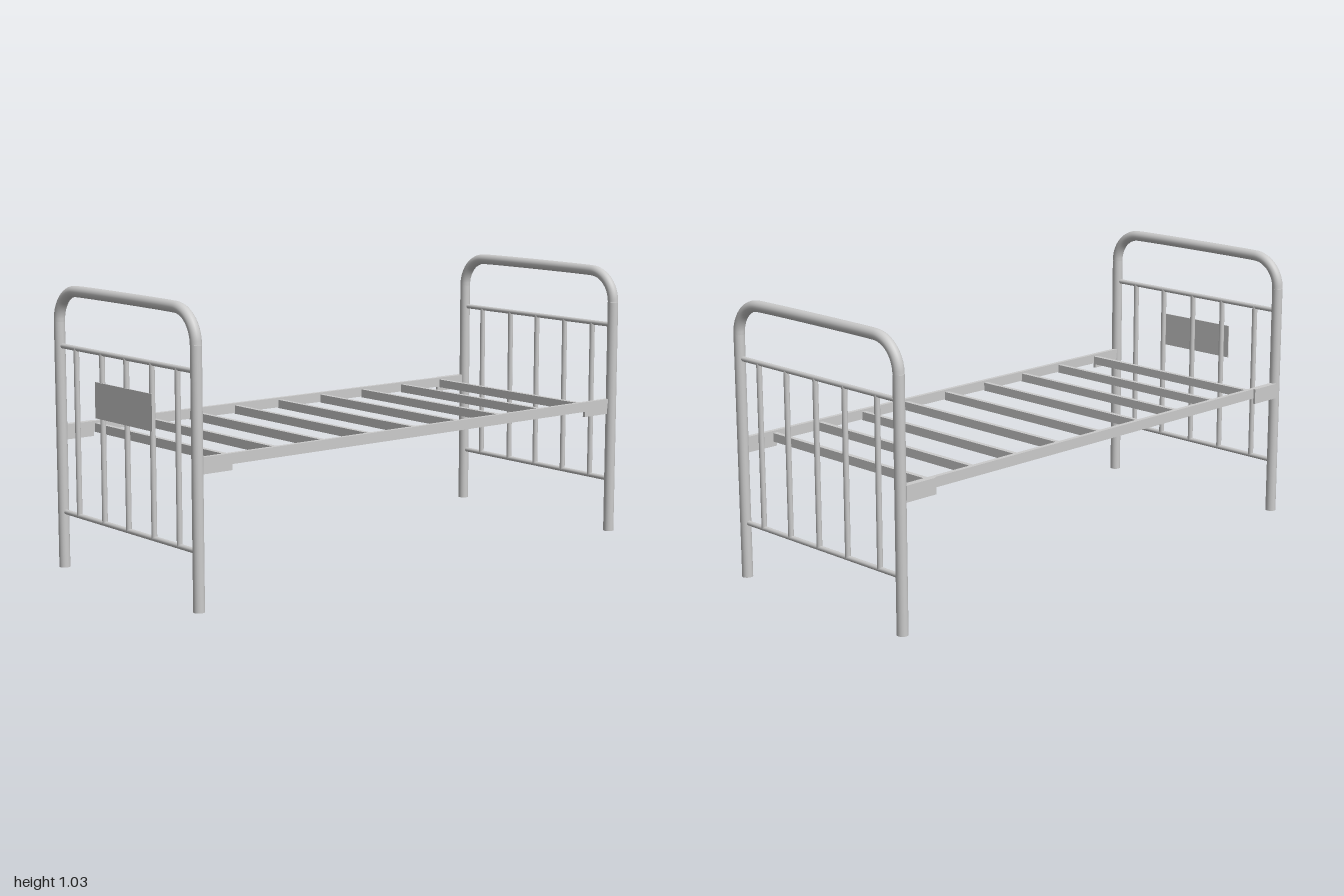
import * as THREE from 'three';

const material = new THREE.MeshStandardMaterial({ color: 0xcccccc });

function box(parent, name, [x0, x1], [y0, y1], [z0, z1]) {
  const mesh = new THREE.Mesh(new THREE.BoxGeometry(x1 - x0, y1 - y0, z1 - z0), material);
  mesh.position.set((x0 + x1) / 2, (y0 + y1) / 2, (z0 + z1) / 2);
  mesh.name = name;
  parent.add(mesh);
}

function rod(parent, name, radius, length, y, z, alongZ = false) {
  const mesh = new THREE.Mesh(new THREE.CylinderGeometry(radius, radius, length, 16), material);
  mesh.position.set(0, y, z);
  if (alongZ) mesh.rotation.x = Math.PI / 2;
  mesh.name = name;
  parent.add(mesh);
}

const POST_X = 0.98, POST_Z = 0.418, POST_R = 0.02;

// One bent-tube end: straight legs, rounded corners, two cross bars, five spindles
function bedEnd(name, x) {
  const end = new THREE.Group();
  end.name = name;
  end.position.x = x;

  const top = 1.01, bend = 0.115, legTop = top - bend;
  for (const s of [1, -1]) rod(end, 'leg', POST_R, legTop, legTop / 2, s * POST_Z);

  // Bent tube over the top, following quarter circles at the corners
  const points = [];
  for (const s of [1, -1]) {
    for (let i = 0; i <= 10; i++) {
      const a = (s > 0 ? i : 10 - i) / 10 * Math.PI / 2;
      points.push(new THREE.Vector3(0,
        legTop + bend * Math.sin(a), s * (POST_Z - bend + bend * Math.cos(a))));
    }
  }
  const hoop = new THREE.Mesh(
    new THREE.TubeGeometry(new THREE.CatmullRomCurve3(points), 80, POST_R, 20), material);
  hoop.name = 'topHoop';
  end.add(hoop);

  for (const y of [0.205, 0.808]) rod(end, 'crossBar', 0.009, 2 * POST_Z, y, 0, true);
  for (const z of [0.311, 0.161, 0.006, -0.145, -0.31]) rod(end, 'spindle', 0.01, 0.603, 0.5065, z);
  return end;
}

export function createModel() {
  const bed = new THREE.Group();
  bed.name = 'bedFrame';

  const headboard = bedEnd('headboard', -POST_X);
  bed.add(headboard, bedEnd('footboard', POST_X));

  // Flat plate on the outside of the headboard spindles
  box(headboard, 'plate', [-0.014, -0.01], [0.578, 0.706], [-0.172, 0.178]);

  // Side rails
  box(bed, 'frontRail', [-0.97, 0.97], [0.484, 0.521], [0.404, 0.42]);
  box(bed, 'backRail', [-0.97, 0.97], [0.484, 0.521], [-0.429, -0.412]);

  // Brackets joining the rails to the legs
  for (const s of [1, -1]) {
    const span = s > 0 ? [0.838, 0.97] : [-0.97, -0.838];
    box(bed, 'frontBracket', span, [0.463, 0.515], [0.406, 0.418]);
    box(bed, 'backBracket', span, [0.463, 0.521], [-0.437, -0.428]);
  }

  // Cross slats
  for (let i = 0; i < 9; i++) {
    const x = -0.835 + i * 0.21;
    box(bed, 'slat', [x - 0.009, x + 0.009], [0.481, 0.513], [-0.414, 0.406]);
  }
  return bed;
}
